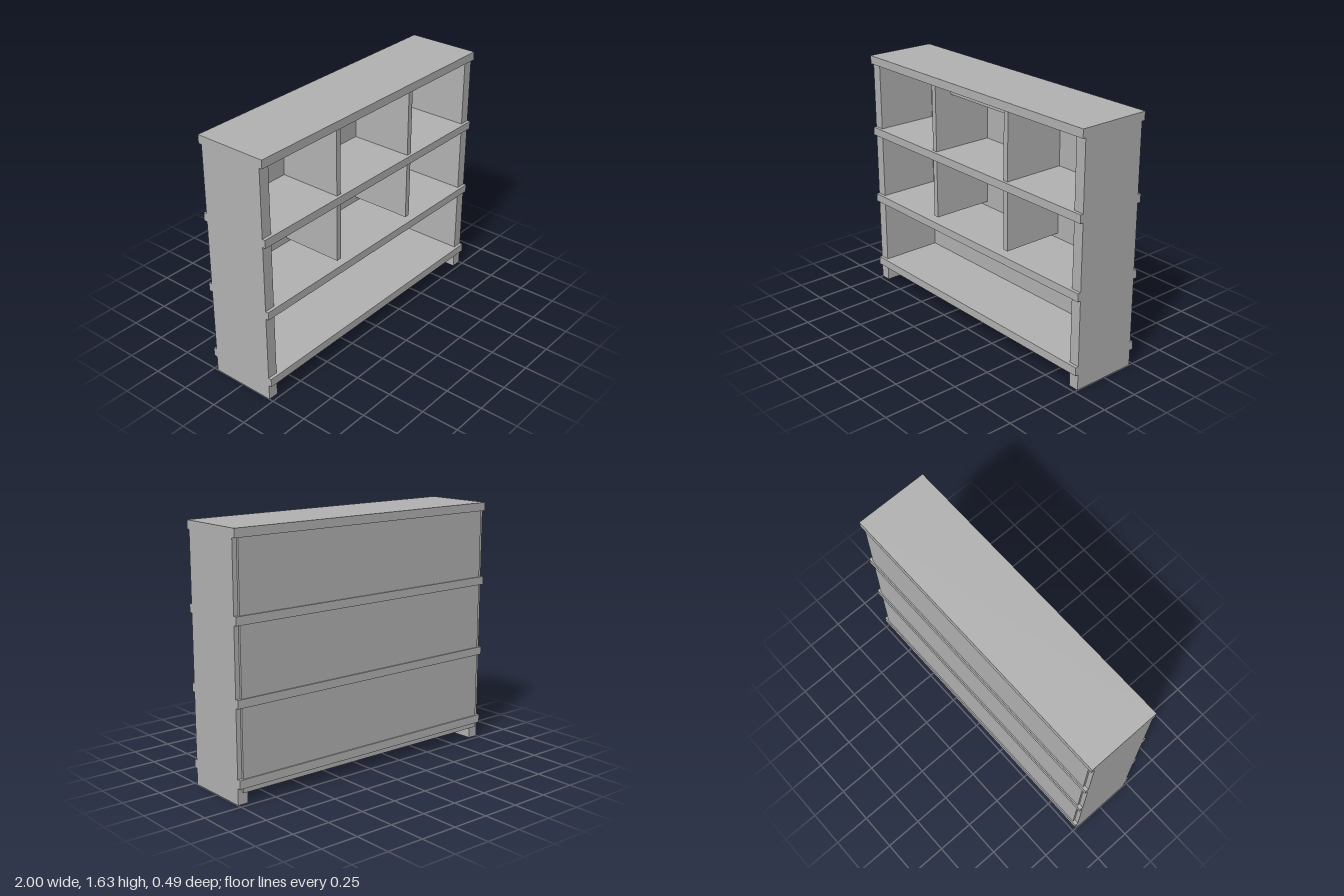
import * as THREE from 'three';

export function createModel() {
  const model = new THREE.Group();
  const grey = new THREE.MeshStandardMaterial({ color: 0xb2b2b2 });
  grey.name = 'plain grey';

  // Box given by its extents on each axis
  function board(name, [x0, x1], [y0, y1], [z0, z1]) {
    const mesh = new THREE.Mesh(new THREE.BoxGeometry(x1 - x0, y1 - y0, z1 - z0), grey);
    mesh.position.set((x0 + x1) / 2, (y0 + y1) / 2, (z0 + z1) / 2);
    mesh.name = name;
    model.add(mesh);
  }

  // Top board, overhanging front and back
  board('topBoard', [-1, 1], [1.575, 1.63], [-0.243, 0.243]);

  // Side panels, reaching the floor
  board('leftSidePanel', [0.93, 1], [0, 1.575], [-0.22, 0.222]);
  board('rightSidePanel', [-1, -0.93], [0, 1.575], [-0.22, 0.222]);

  // Back panel, set between the edges of the sides
  board('backPanel', [-0.97, 0.97], [0.075, 1.575], [-0.235, -0.2]);

  // Shelves with full-width trim strips at front and back
  for (const [y0, y1] of [[0.105, 0.16], [0.592, 0.645], [1.078, 1.132]]) {
    board('shelf', [-0.93, 0.93], [y0, y1], [-0.2, 0.222]);
    board('frontTrim', [-1, 1], [y0, y1], [0.222, 0.243]);
    board('backTrim', [-1, 1], [y0, y1], [-0.243, -0.22]);
  }

  // Upright dividers; the lower pair stops short of the shelf below
  for (const side of [-1, 1]) {
    const x = [side * 0.345 - 0.018, side * 0.345 + 0.018];
    board('upperDivider', x, [1.132, 1.575], [-0.2, 0.222]);
    board('lowerDivider', x, [0.678, 1.078], [-0.2, 0.222]);
  }

  // Rail under the top with a thin strip below it
  board('topRail', [-0.4, 0.4], [1.51, 1.575], [0.04, 0.1]);
  board('railStrip', [-0.327, 0.327], [1.49, 1.51], [0.04, 0.1]);

  return model;
}
